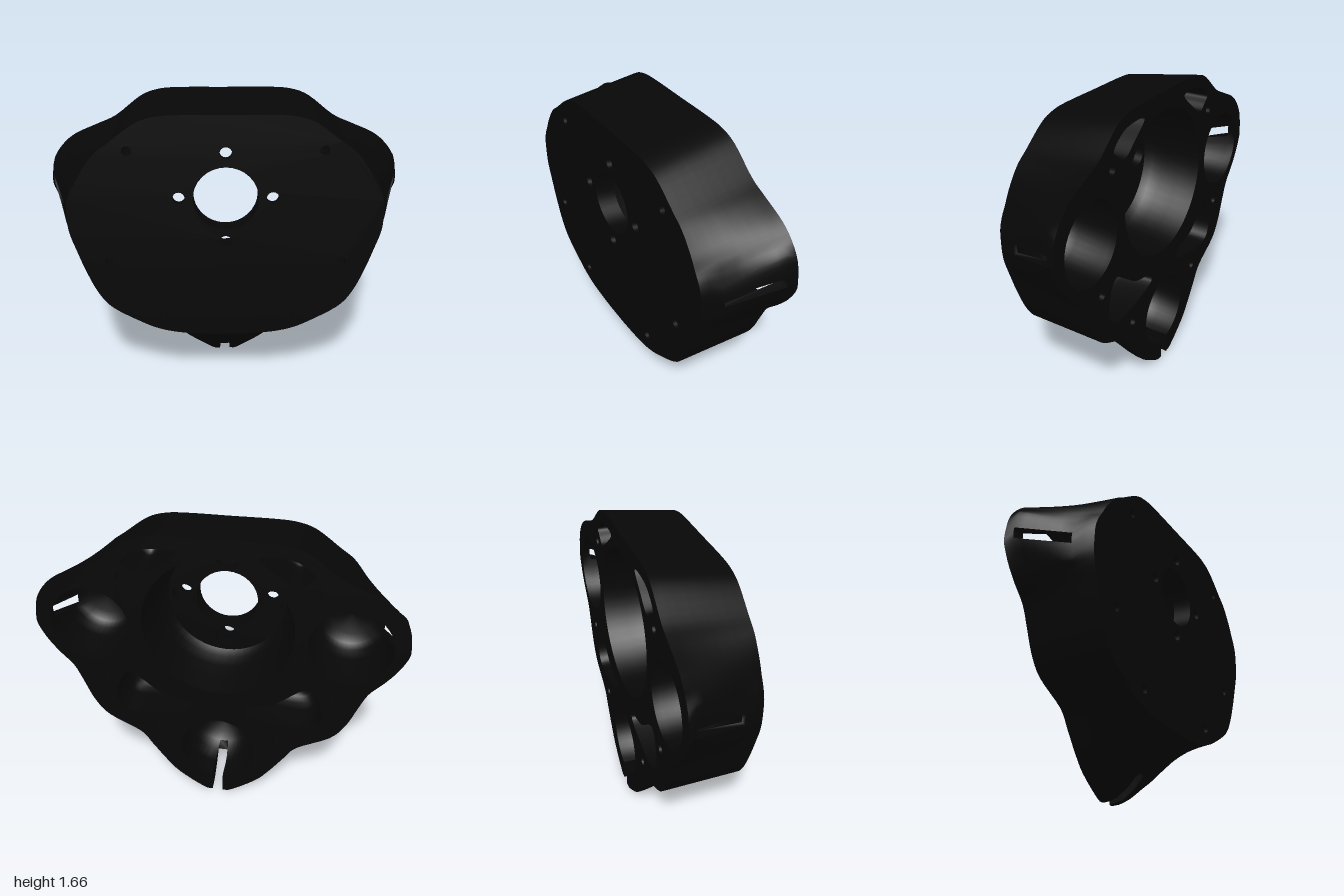
import * as THREE from 'three';

const FRONT = 0.22, BACK = -0.215, K = 4, N = 40;
const V2 = (x, y) => new THREE.Vector2(x, y);
const V3 = (x, y, z) => new THREE.Vector3(x, y, z);

// Right half outlines, top to bottom: [back x, back y, front x, front y]
const half = [
  [0, 1.66, 0, 1.60], [0.25, 1.66, 0.25, 1.60], [0.37, 1.65, 0.37, 1.59], [0.47, 1.612, 0.47, 1.555],
  [0.61, 1.505, 0.60, 1.46], [0.72, 1.455, 0.68, 1.40], [0.845, 1.40, 0.75, 1.31], [0.925, 1.335, 0.79, 1.24],
  [0.98, 1.25, 0.82, 1.19], [1.0, 1.14, 0.84, 1.135], [0.995, 1.08, 0.845, 1.075], [0.95, 0.99, 0.845, 1.0],
  [0.89, 0.91, 0.835, 0.94], [0.82, 0.83, 0.81, 0.86], [0.775, 0.73, 0.77, 0.74], [0.72, 0.60, 0.71, 0.60],
  [0.64, 0.50, 0.63, 0.50], [0.46, 0.40, 0.46, 0.40], [0.39, 0.31, 0.37, 0.362], [0.31, 0.20, 0.29, 0.343],
  [0.23, 0.11, 0.21, 0.333], [0.085, 0.01, 0.08, 0.325], [0.03, 0, 0.03, 0.325],
];
const n = half.length, M = 2 * n - 1, U = M * K;
const full = [...half, ...half.slice(1).reverse().map(([a, b, c, d]) => [-a, b, -c, d])];
const smooth = (pts, count) => {
  const c = new THREE.CatmullRomCurve3(pts, true, 'catmullrom', 0.5);
  return Array.from({ length: count }, (_, i) => c.getPoint(i / count));
};
const backLine = smooth(full.map(p => V3(p[0], p[1], 0)), U);
const frontLine = smooth(full.map(p => V3(p[2], p[3], 0)), U);

// The ear slots climb towards the back
const slotRise = z => -0.23 * (z + 0.02);
const clamp01 = v => Math.min(1, Math.max(0, v));

// Point on the tapering outer wall; t runs from front to back
function wallPoint(u, t) {
  const p = frontLine[u % U].clone().lerp(backLine[u % U], t);
  p.y -= 0.075 * Math.sin(Math.PI * Math.max(0, t - 0.3) / 0.7) * Math.max(0, 1 - p.y / 0.35);
  p.z = FRONT + (BACK - FRONT) * t;
  if (t > 0.2 && t < 0.95) {
    const column = Math.min(u, U - u) / K;
    p.y += slotRise(p.z) * clamp01(2.5 - Math.abs(column - 9.5));
  }
  return p;
}

// Skin between closed rings of equal length, leaving out cells where skip(row, column)
function loft(rings, skip = () => false) {
  const m = rings[0].length, index = [];
  for (let r = 0; r < rings.length - 1; r++) for (let i = 0; i < m; i++) {
    if (skip(r, i)) continue;
    const a = r * m + i, b = r * m + (i + 1) % m;
    index.push(a, a + m, b, b, a + m, b + m);
  }
  const g = new THREE.BufferGeometry().setFromPoints(rings.flat());
  g.setIndex(index);
  return g;
}

const circle = (x, y, r, count = N) => Array.from({ length: count }, (_, i) => {
  const a = i / count * Math.PI * 2;
  return V2(x + r * Math.cos(a), y + r * Math.sin(a));
});
const ringAt = (pts, cx, cy, s, z) => pts.map(p => V3(cx + (p.x - cx) * s, cy + (p.y - cy) * s, z));

function plate(outline, holes, z) {
  const shape = new THREE.Shape(outline);
  holes.forEach(h => shape.holes.push(new THREE.Path(h)));
  return new THREE.ShapeGeometry(shape).translate(0, 0, z);
}

export function createModel() {
  const group = new THREE.Group();
  const black = new THREE.MeshStandardMaterial({ color: 0x070707, side: THREE.DoubleSide });
  black.name = 'matt black';
  // The whole body leans slightly
  const lean = new THREE.Matrix4().set(1, 0, 0, 0, 0, 1, 0, 0, 0, 0.017, 1, -0.0153, 0, 0, 0, 1);
  const add = (name, geometry) => {
    geometry.applyMatrix4(lean);
    geometry.computeVertexNormals();
    const mesh = new THREE.Mesh(geometry, black);
    mesh.name = name;
    group.add(mesh);
  };

  // Outer wall with ear slots and the bottom notch
  const ts = [0, 0.1, 0.25, 0.4, 0.5, 0.65, 0.8, 0.9, 1];
  const within = (i, c) => i >= c * K && i < (c + 1) * K;
  add('outerWall', loft(ts.map(t => backLine.map((_, u) => wallPoint(u, t))), (r, i) =>
    ((within(i, 9) || within(i, M - 10)) && r >= 2 && r < 7) || (within(i, n - 1) && r >= 4)));

  // Hole positions
  const boltHoles = [[0.25, 1.155], [-0.25, 1.155], [0, 1.40], [0, 0.905]];
  const screwHoles = [];
  for (const s of [1, -1]) screwHoles.push([s * 0.51, 1.415], [s * 0.635, 0.785], [s * 0.35, 0.455]);
  const bore = circle(0, 1.15, 0.175, 32);
  const bolts = boltHoles.map(([x, y]) => circle(x, y, 0.033, 16));
  const recesses = boltHoles.map(([x, y]) => circle(x, y, 0.068, 24));
  const screws = screwHoles.map(([x, y]) => circle(x, y, 0.026, 16));
  const tube = (pts, z0, z1) => loft([ringAt(pts, 0, 0, 1, z0), ringAt(pts, 0, 0, 1, z1)]);

  // Front face
  add('frontFace', plate(frontLine.map(p => V2(p.x, p.y)), [bore, ...bolts, ...screws], FRONT));

  // Central cavity; its floor has a bore and counterbored bolt holes
  const cavity = circle(0, 1.15, 0.41, 48), floorZ = 0.11, seatZ = 0.175;
  add('cavityWall', loft([[1, BACK], [0.97, -0.1], [0.93, 0.0], [0.89, 0.07], [0.82, floorZ]]
    .map(([s, z]) => ringAt(cavity, 0, 1.15, s, z))));
  add('cavityFloor', plate(circle(0, 1.15, 0.41 * 0.82, 48), [bore, ...recesses], floorZ));
  add('centreBore', tube(bore, floorZ, FRONT));
  bolts.forEach((bolt, i) => {
    add('boltRecess', tube(recesses[i], floorZ, seatZ));
    add('boltSeat', plate(recesses[i], [bolt], seatZ));
    add('boltHole', tube(bolt, seatZ, FRONT));
  });
  screws.forEach(s => add('screwHole', tube(s, BACK, FRONT)));

  const backHoles = [cavity, ...screws];

  // Bowl pockets in the ears, each with a slot through the wall
  const earProfile = [[1, BACK], [1, -0.17], [0.955, 0], [0.87, 0.06], [0.77, 0.1], [0.55, 0.13], [0.01, 0.14]];
  for (const s of [1, -1]) {
    const cx = 0.70, cy = 1.108, base = circle(cx, cy, 0.22);
    const rings = earProfile.map(([k, z]) => ringAt(base, cx, cy, k, z));
    for (const ring of rings.slice(1, 5)) ring.forEach((p, i) => {
      p.y += slotRise(p.z) * clamp01((4 - Math.min(i, N - i)) / 3);
    });
    const bowl = loft(rings, (r, i) => (i === 0 || i === N - 1) && r >= 1 && r < 4);
    const slot = loft([
      [wallPoint(9 * K, 0.25), wallPoint(9 * K, 0.9), wallPoint(10 * K, 0.9), wallPoint(10 * K, 0.25)],
      [rings[4][1], rings[1][1], rings[1][N - 1], rings[4][N - 1]]]);
    add('earPocket', bowl.scale(s, 1, 1));
    add('earSlot', slot.scale(s, 1, 1));
    backHoles.push(base.map(p => V2(p.x * s, p.y)));
  }

  // Bowl pocket at the bottom, close to the outer wall and opened by the notch
  const low = circle(0, 0.33, 0.21);
  const lowRings = [[1, BACK], [1, -0.1], [0.92, -0.02], [0.73, 0.03], [0.5, 0.07], [0.01, 0.09]]
    .map(([k, z]) => ringAt(low, 0, 0.33, k, z));
  add('bottomPocket', loft(lowRings, (r, i) => (i === 29 || i === 30) && r < 3));
  const edge = (n - 1) * K;
  add('bottomNotch', loft([
    [1, 0.8, 0.65, 0.5].map(t => wallPoint(edge, t)).concat([0.5, 0.65, 0.8, 1].map(t => wallPoint(edge + K, t))),
    [0, 1, 2, 3].map(r => lowRings[r][31]).concat([3, 2, 1, 0].map(r => lowRings[r][29])),
  ], (r, i) => i === 7));

  // Rounded weight-saving pockets
  const pockets = [
    { name: 'upperPocket', floor: 0.04,
      pts: [[0.21, 1.58], [0.38, 1.58], [0.49, 1.51], [0.46, 1.465], [0.40, 1.43], [0.31, 1.49]] },
    { name: 'lowerPocket', floor: 0.04,
      pts: [[0.50, 0.82], [0.58, 0.68], [0.54, 0.56], [0.38, 0.55], [0.16, 0.60], [0.17, 0.66], [0.32, 0.70]] },
  ];
  for (const { name, floor, pts } of pockets) for (const s of [1, -1]) {
    const rim = smooth(pts.map(([x, y]) => V3(x * s, y, 0)), 42).map(p => V2(p.x, p.y));
    const cx = s * pts.reduce((a, p) => a + p[0], 0) / pts.length;
    const cy = pts.reduce((a, p) => a + p[1], 0) / pts.length;
    add(name, loft([[1, BACK], [0.95, -0.05], [0.88, floor - 0.04], [0.7, floor], [0.01, floor + 0.005]]
      .map(([k, z]) => ringAt(rim, cx, cy, k, z))));
    backHoles.push(rim);
  }

  // Back face, its outline running through the notch and round the bottom pocket
  const outline = [];
  for (let u = n * K; u <= U + edge; u++) outline.push(V2(backLine[u % U].x, backLine[u % U].y));
  for (let i = 31; i <= N + 29; i++) outline.push(low[i % N]);
  add('backFace', plate(outline, backHoles, BACK));

  return group;
}
